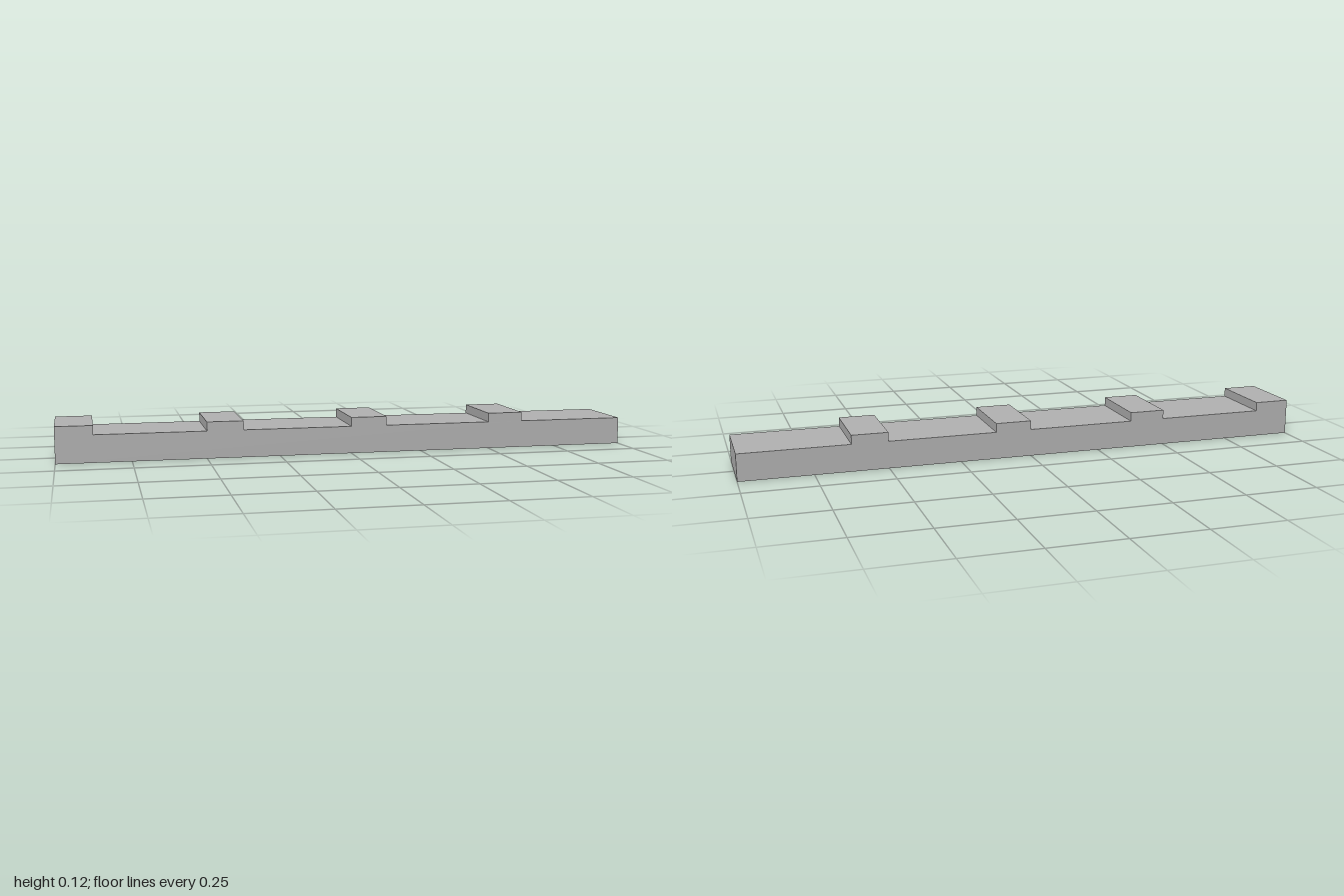
import * as THREE from 'three';

export function createModel() {
  const group = new THREE.Group();
  const grey = new THREE.MeshStandardMaterial({ color: 0xb2b2b2 });
  grey.name = 'grey';

  const length = 2, depth = 0.25, baseHeight = 0.094, ridgeHeight = 0.125, ridgeWidth = 0.125;
  const ridgeCount = 4, pitch = length / ridgeCount;

  // Side profile: a flat bar with a raised ridge at the start of each section
  const profile = new THREE.Shape();
  profile.moveTo(length / 2, baseHeight);
  for (let i = ridgeCount - 1; i >= 0; i--) {
    const x = -length / 2 + i * pitch;
    profile.lineTo(x + ridgeWidth, baseHeight);
    profile.lineTo(x + ridgeWidth, ridgeHeight);
    profile.lineTo(x, ridgeHeight);
    if (i > 0) profile.lineTo(x, baseHeight);
  }
  profile.lineTo(-length / 2, 0);
  profile.lineTo(length / 2, 0);
  profile.closePath();

  const geometry = new THREE.ExtrudeGeometry(profile, { depth, bevelEnabled: false });
  geometry.translate(0, 0, -depth / 2);

  const bar = new THREE.Mesh(geometry, grey);
  bar.name = 'ridgedBar';
  group.add(bar);
  return group;
}
